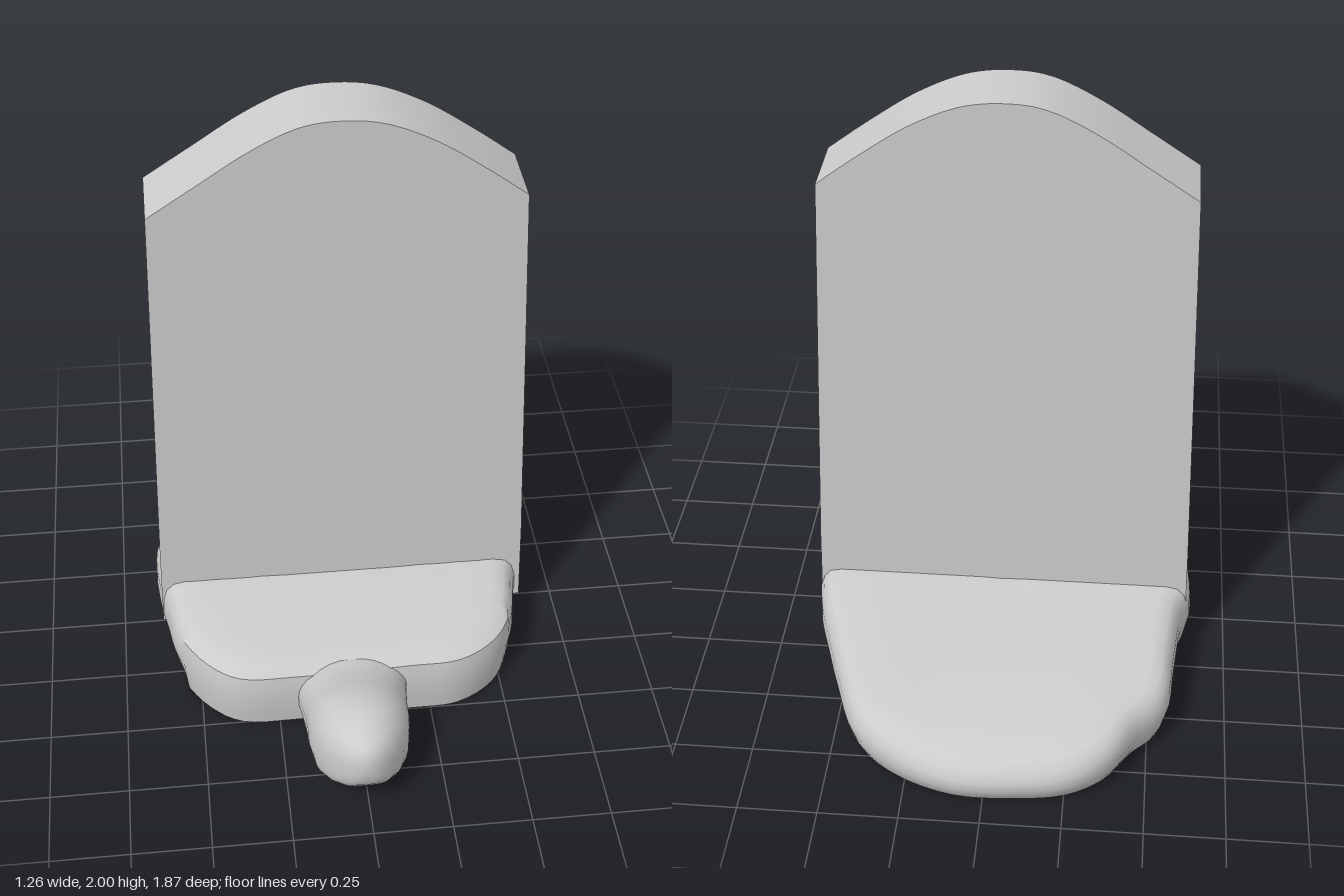
import * as THREE from 'three';
import { mergeVertices, toCreasedNormals } from 'three/addons/utils/BufferGeometryUtils.js';

const stone = new THREE.MeshStandardMaterial({ color: 0xcccccc });

function part(name, geometry, crease) {
  const mesh = new THREE.Mesh(toCreasedNormals(geometry, crease), stone);
  mesh.name = name;
  return mesh;
}

// Skin closed rings (counter-clockwise about the travel direction) and cap both ends
function loft(rings) {
  const n = rings[0].length, points = rings.flat(), index = [];
  for (let i = 0; i < rings.length - 1; i++) {
    for (let j = 0; j < n; j++) {
      const a = i * n + j, b = i * n + (j + 1) % n;
      index.push(a, b, b + n, a, b + n, a + n);
    }
  }
  const centre = ring => ring.reduce((s, p) => s.add(p), new THREE.Vector3()).divideScalar(n);
  const start = points.length, last = (rings.length - 1) * n;
  points.push(centre(rings[0]), centre(rings[rings.length - 1]));
  for (let j = 0; j < n; j++) {
    const k = (j + 1) % n;
    index.push(start, k, j, start + 1, last + j, last + k);
  }
  const g = new THREE.BufferGeometry().setFromPoints(points);
  g.setIndex(index);
  return g;
}

// Linear lookup in a short list of [position, value] pairs
function lookup(table, t) {
  if (t <= table[0][0]) return table[0][1];
  for (let i = 1; i < table.length; i++) {
    const [a, va] = table[i - 1], [b, vb] = table[i];
    if (t <= b) return va + (vb - va) * (t - a) / (b - a);
  }
  return table[table.length - 1][1];
}

// Upright tapered tablet with an arched top
function createSlab() {
  const shape = new THREE.Shape();
  shape.moveTo(-0.615, 0.1);
  shape.lineTo(0.615, 0.1);
  shape.lineTo(0.607, 0.4);
  shape.lineTo(0.553, 1.72);
  shape.splineThru([[0.42, 1.82], [0.27, 1.92], [0.12, 1.985], [-0.02, 2], [-0.14, 1.98],
    [-0.28, 1.91], [-0.43, 1.81], [-0.578, 1.71]].map(p => new THREE.Vector2(...p)));
  shape.lineTo(-0.61, 0.4);
  const g = new THREE.ExtrudeGeometry(shape, { depth: 1, bevelEnabled: false, curveSegments: 24 });
  const p = g.attributes.position;
  for (let i = 0; i < p.count; i++) {
    const t = p.getY(i) / 2;
    const front = 0.1 - 0.012 * t, back = -0.167 + 0.025 * t;
    p.setZ(i, back + (front - back) * p.getZ(i));
  }
  return part('slab', g, 0.5);
}

// Low, rounded shell-like base with a flat underside
function createBase() {
  const outline = [[0.18, 0.51], [0.35, 0.5], [0.48, 0.42], [0.55, 0.3], [0.585, 0.14], [0.62, 0.02],
    [0.625, -0.1], [0.6, -0.26], [0.555, -0.4], [0.5, -0.56], [0.42, -0.75], [0.29, -0.86],
    [0.1, -0.93], [-0.1, -0.93], [-0.27, -0.9], [-0.39, -0.82], [-0.47, -0.7], [-0.555, -0.6],
    [-0.58, -0.4], [-0.6, -0.22], [-0.628, -0.14], [-0.62, 0.05], [-0.6, 0.16], [-0.57, 0.3],
    [-0.48, 0.44], [-0.38, 0.51], [-0.2, 0.52]].map(([x, z]) => new THREE.Vector3(x, 0, z));
  const edge = new THREE.CatmullRomCurve3(outline, true).getPoints(108).slice(0, -1);
  const height = [[-0.93, 0.14], [-0.85, 0.175], [-0.75, 0.2], [-0.55, 0.225], [-0.17, 0.27],
    [0.1, 0.27], [0.3, 0.25], [0.52, 0.235]];
  // [outline scale, fraction of the local height]
  const levels = [[0.95, 0], [0.975, 0.2], [1, 0.5], [0.995, 0.72], [0.975, 0.88],
    [0.94, 0.97], [0.88, 1], [0.7, 1], [0.5, 1], [0.3, 1], [0.12, 1]];
  const midZ = -0.15;
  const rings = levels.map(([s, f]) => edge.map(p => {
    // The front wall stays nearly upright
    const k = p.z > 0.3 && f < 0.9 ? 1 - (1 - s) * 0.4 : s;
    const z = midZ + (p.z - midZ) * k;
    return new THREE.Vector3(p.x * k, f * lookup(height, z), z);
  }));
  return part('base', mergeVertices(loft(rings)), 0.7);
}

// Blunt head reaching forward from the base
function createHead() {
  // [z, half width, bottom, top]
  const sections = [[0.4, 0.17, 0, 0.22], [0.5, 0.18, 0, 0.235], [0.56, 0.172, 0, 0.25],
    [0.63, 0.165, 0, 0.285], [0.7, 0.162, 0, 0.312], [0.77, 0.15, 0, 0.32],
    [0.83, 0.125, 0.04, 0.316], [0.88, 0.092, 0.085, 0.302], [0.91, 0.06, 0.125, 0.285],
    [0.925, 0.035, 0.16, 0.265], [0.931, 0.012, 0.195, 0.235]];
  const n = 32;
  const rings = sections.map(([z, w, lo, hi]) => {
    const mid = lo + (hi - lo) * 0.5;
    return Array.from({ length: n }, (_, j) => {
      const a = j / n * Math.PI * 2, c = Math.cos(a), s = Math.sin(a);
      // Squarer below, rounder above
      const e = s < 0 ? 0.6 : 0.92;
      return new THREE.Vector3(-0.012 + Math.sign(c) * Math.abs(c) ** e * w,
        mid + Math.sign(s) * Math.abs(s) ** e * (hi - lo) / 2, z);
    });
  });
  return part('head', loft(rings), 1);
}

export function createModel() {
  const group = new THREE.Group();
  group.name = 'steleOnBase';
  group.add(createSlab(), createBase(), createHead());
  return group;
}
